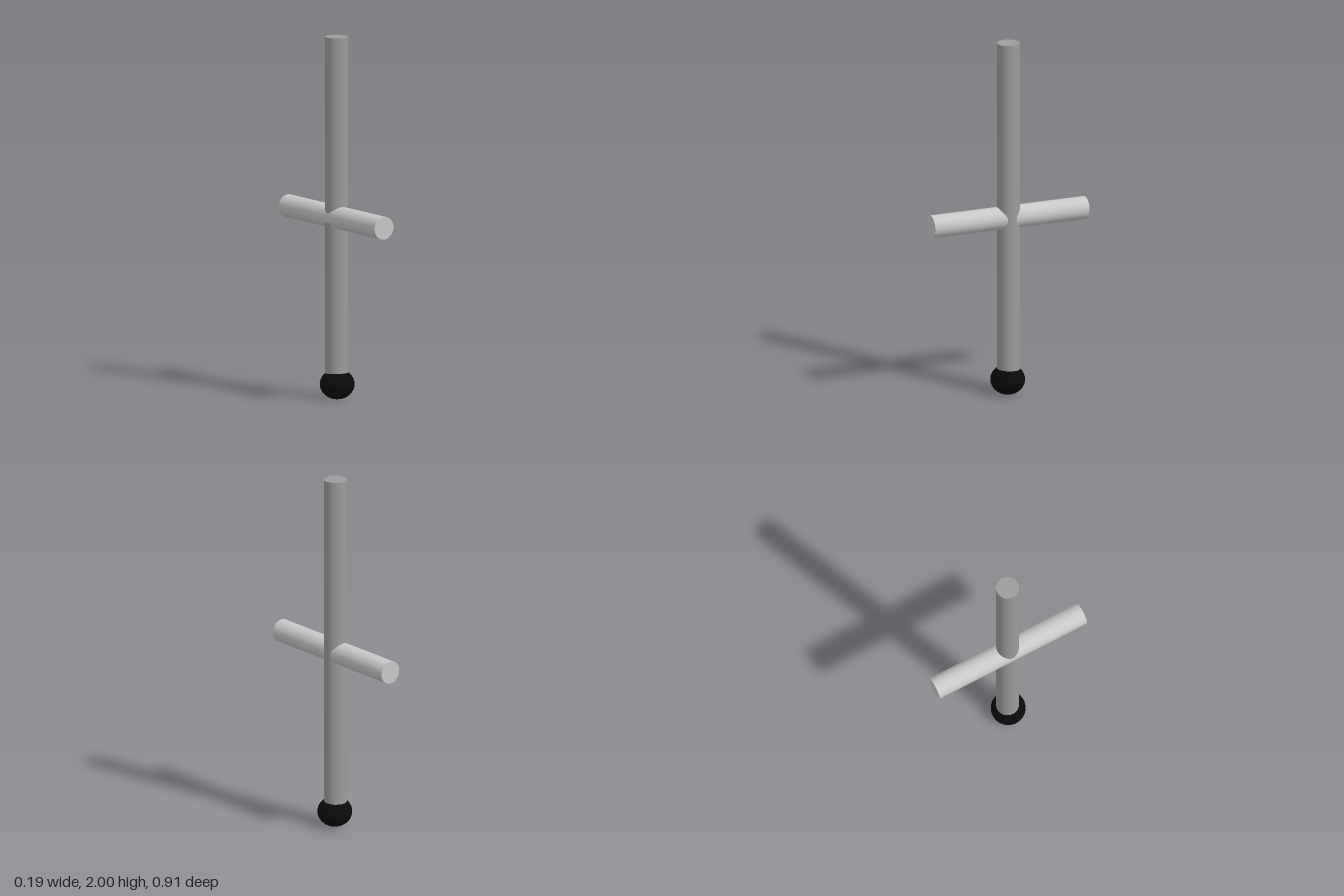
import * as THREE from 'three';

export function createModel() {
  const group = new THREE.Group();
  const material = (name, color) => {
    const m = new THREE.MeshStandardMaterial({ color });
    m.name = name;
    return m;
  };
  const add = (name, geometry, mat, x, y, z) => {
    const mesh = new THREE.Mesh(geometry, mat);
    mesh.name = name;
    mesh.position.set(x, y, z);
    group.add(mesh);
    return mesh;
  };

  const poleGrey = material('poleGrey', 0x9c9c9c);
  const barGrey = material('lightGrey', 0xc8c8c8);
  const black = material('black', 0x0a0a0a);
  const radius = 0.063;

  // Upright pole, its lower end sunk into the ball
  add('pole', new THREE.CylinderGeometry(radius, radius, 1.92, 32), poleGrey, 0, 1.04, 0);

  // Crossbar running front to back, slightly off the pole's axis
  add('crossbar', new THREE.CylinderGeometry(radius, radius, 0.914, 32).rotateX(Math.PI / 2),
    barGrey, -0.005, 1.005, 0);

  // Slightly flattened foot ball
  add('footBall', new THREE.SphereGeometry(0.095, 40, 24).scale(1, 0.874, 1), black, 0, 0.083, 0.004);

  return group;
}
